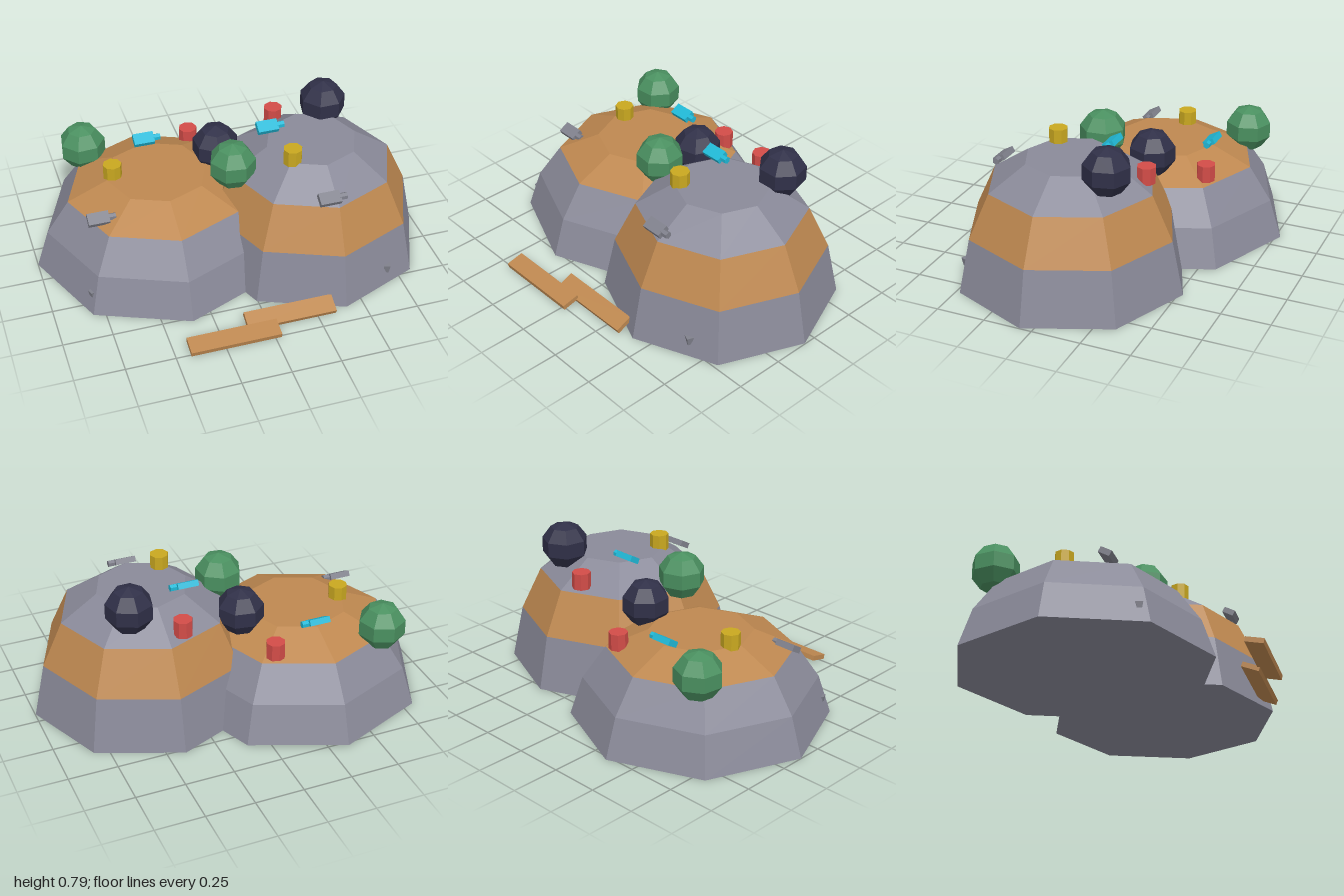
import * as THREE from 'three';

const mat = (name, color) => {
  const m = new THREE.MeshStandardMaterial({ color });
  m.name = name;
  return m;
};

// Faceted normals
const flat = (geometry) => {
  const g = geometry.index ? geometry.toNonIndexed() : geometry;
  g.computeVertexNormals();
  return g;
};

export function createModel() {
  const rock = mat('rock grey', 0x8a8a99);
  const clay = mat('clay orange', 0xbe8850);
  const leaf = mat('leaf green', 0x4a9060);
  const night = mat('dark indigo', 0x303048);
  const gold = mat('yellow', 0xc9a820);
  const red = mat('red', 0xd24c48);
  const cyan = mat('cyan', 0x20b8d6);
  const steel = mat('steel grey', 0x80818c);

  const model = new THREE.Group();
  const add = (parent, name, geometry, material, x = 0, y = 0, z = 0) => {
    const mesh = new THREE.Mesh(flat(geometry), material);
    mesh.name = name;
    mesh.position.set(x, y, z);
    parent.add(mesh);
    return mesh;
  };

  // Octagonal mounds: stacked tapering bands, closed above and below
  const mound = (name, x, z, radius, heights, bandMats, capMat) => {
    const group = new THREE.Group();
    group.name = name;
    group.position.set(x, 0, z);
    const radii = [1, 0.9, 0.72, 0.4].map((f) => f * radius);
    bandMats.forEach((m, i) => {
      const h = heights[i + 1] - heights[i];
      add(group, 'moundBand', new THREE.CylinderGeometry(radii[i + 1], radii[i], h, 8, 1, true),
        m, 0, heights[i] + h / 2, 0);
    });
    add(group, 'moundTop', new THREE.CircleGeometry(radii[3], 8).rotateX(-Math.PI / 2), capMat, 0, heights[3], 0);
    add(group, 'moundBase', new THREE.CircleGeometry(radii[0], 8).rotateX(Math.PI / 2), rock);
    model.add(group);
  };
  mound('wideMound', -0.35, -0.125, 0.65, [0, 0.2, 0.37, 0.46], [rock, rock, clay], clay);
  mound('tallMound', 0.41, 0.063, 0.587, [0, 0.28, 0.505, 0.63], [rock, clay, rock], rock);

  // Faceted round bushes
  [
    ['greenBush', leaf, -0.66, 0.45, -0.475, 0.3],
    ['greenBush', leaf, -0.013, 0.583, 0.088, 0.1],
    ['darkBush', night, -0.022, 0.517, -0.178, 0.5],
    ['darkBush', night, 0.56, 0.668, -0.19, 0.25],
  ].forEach(([name, m, x, y, z, turn]) => {
    add(model, name, new THREE.SphereGeometry(0.124, 7, 5), m, x, y, z).rotation.y = turn;
  });

  // Small drums
  [
    ['yellowDrum', gold, -0.572, 0.488, -0.158],
    ['yellowDrum', gold, 0.262, 0.658, 0.205],
    ['redDrum', red, -0.097, 0.427, -0.442],
    ['redDrum', red, 0.326, 0.571, -0.292],
  ].forEach(([name, m, x, y, z]) => {
    add(model, name, new THREE.CylinderGeometry(0.048, 0.048, 0.086, 8), m, x, y, z);
  });

  // Tilted blocks with a short nozzle at one end
  [
    ['cyanBlock', cyan, -0.353, 0.488, -0.38],
    ['cyanBlock', cyan, 0.22, 0.657, -0.068],
    ['greyBlock', steel, -0.71, 0.41, 0.105],
    ['greyBlock', steel, 0.367, 0.55, 0.456],
  ].forEach(([name, m, x, y, z]) => {
    const group = new THREE.Group();
    group.name = name;
    group.position.set(x, y, z);
    group.rotation.x = 0.52;
    add(group, 'blockBody', new THREE.BoxGeometry(0.108, 0.03, 0.062), m);
    add(group, 'blockNozzle', new THREE.CylinderGeometry(0.018, 0.018, 0.04, 6).rotateZ(Math.PI / 2),
      m, 0.068, 0, 0);
    model.add(group);
  });

  // Little pegs poking out of the slopes
  [[0.673, 0.085, 0.522], [-0.795, 0.085, 0.277]].forEach(([x, y, z]) => {
    add(model, 'slopePeg', new THREE.CylinderGeometry(0.024, 0.014, 0.045, 4), steel, x, y, z)
      .rotation.y = x > 0 ? 0.4 : -0.4;
  });

  // Planks lying at the foot of the mounds
  [[-0.2, 0.029, 0.723, 0.23], [0.113, 0.035, 0.642, 0.4]].forEach(([x, y, z, tilt]) => {
    add(model, 'plank', new THREE.BoxGeometry(0.457, 0.026, 0.093), clay, x, y, z).rotation.x = tilt;
  });

  return model;
}
